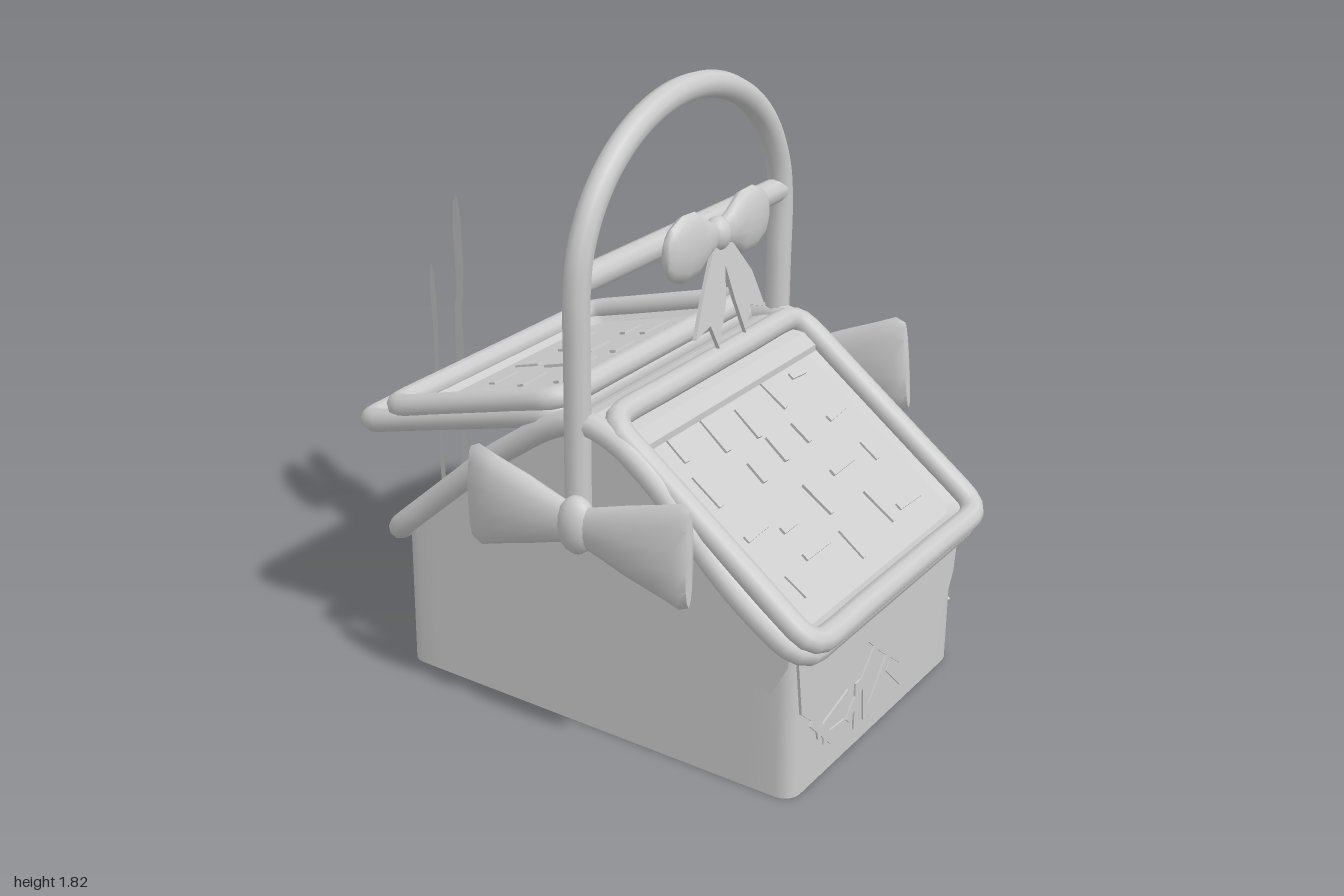
import * as THREE from 'three';
import { toCreasedNormals } from 'three/addons/utils/BufferGeometryUtils.js';

const V = (x, y, z) => new THREE.Vector3(x, y, z);
const MID = 0.225; // x of the handle and the ridge

// Height of the basket's arched opening along x
const RIDGE = [[-0.48, 0.43], [-0.1, 0.77], [0.1, 0.92], [0.23, 0.97], [0.36, 0.94], [0.5, 0.83], [0.7, 0.62], [0.95, 0.45]];
function ridge(x) {
  let i = 0;
  while (i < RIDGE.length - 2 && x > RIDGE[i + 1][0]) i++;
  const [x0, y0] = RIDGE[i], [x1, y1] = RIDGE[i + 1];
  return y0 + (y1 - y0) * (x - x0) / (x1 - x0);
}

// Rounded rectangle in the xz plane, as [x, z] points
function roundRect(hx, hz, r, sub = 10) {
  const pts = [], s = [[1, 1], [1, -1], [-1, -1], [-1, 1]];
  for (let k = 0; k < 4; k++) {
    const arc = (q, a) => [s[q][0] * (hx - r) + r * Math.sin(a), s[q][1] * (hz - r) + r * Math.cos(a)];
    for (let i = 0; i <= 4; i++) pts.push(arc(k, (k + i / 4) * Math.PI / 2));
    const a = pts[pts.length - 1], b = arc((k + 1) % 4, (k + 1) * Math.PI / 2);
    for (let i = 1; i < sub; i++) pts.push([a[0] + (b[0] - a[0]) * i / sub, a[1] + (b[1] - a[1]) * i / sub]);
  }
  return pts;
}

// Skin over closed rings of equal point count
function loft(rings, crease = 0.8) {
  const n = rings[0].length, pos = [], idx = [];
  rings.forEach(r => r.forEach(p => pos.push(p.x, p.y, p.z)));
  for (let i = 0; i < rings.length - 1; i++) for (let j = 0; j < n; j++) {
    const a = i * n + j, b = i * n + (j + 1) % n;
    idx.push(a, b, a + n, b, b + n, a + n);
  }
  const g = new THREE.BufferGeometry();
  g.setAttribute('position', new THREE.Float32BufferAttribute(pos, 3));
  g.setIndex(idx);
  return toCreasedNormals(g, crease);
}

function seeded(s) {
  return () => (s = (s * 16807) % 2147483647) / 2147483647;
}

export function createModel() {
  const basket = new THREE.Group();
  basket.name = 'picnicBasket';
  const grey = new THREE.MeshStandardMaterial({ color: 0xcccccc, side: THREE.DoubleSide });
  grey.name = 'plain grey';

  function add(parent, name, geo, x = 0, y = 0, z = 0) {
    const m = new THREE.Mesh(geo, grey);
    m.name = name;
    m.position.set(x, y, z);
    parent.add(m);
    return m;
  }
  const tube = (pts, r, closed = false, seg = 90) =>
    new THREE.TubeGeometry(new THREE.CatmullRomCurve3(pts, closed, 'centripetal'), seg, r, 10, closed);
  const plate = (pts, d = 0.008) =>
    new THREE.ExtrudeGeometry(new THREE.Shape(pts.map(p => new THREE.Vector2(...p))), { depth: d, bevelEnabled: false });

  // Body with gabled front and back
  const wall = roundRect(0.675, 0.485, 0.05, 16);
  add(basket, 'body', loft([
    wall.map(() => V(MID, 0, 0)),
    wall.map(([x, z]) => V(x + MID, 0, z)),
    wall.map(([x, z]) => V(x + MID, ridge(x + MID), z)),
  ]));
  add(basket, 'rim', tube(roundRect(0.705, 0.512, 0.07, 12).map(([x, z]) => V(x + MID, ridge(x + MID), z)), 0.036, true, 160));

  // Fixed strip over the ridge, under the handle
  const strip = [];
  for (let x = 0.04; x < 0.42; x += 0.04) strip.push([x, ridge(x)]);
  add(basket, 'ridgeStrip', plate([...strip, ...strip.slice().reverse().map(([x, y]) => [x, y - 0.02])], 0.96), 0, 0.01, -0.48);

  // Lids: tube frame, sunken tray and raised slats; a and b are the left and right edge in xy
  function lid(name, a, b, tray, seed) {
    const g = new THREE.Group();
    g.name = name;
    const hx = Math.hypot(b[0] - a[0], b[1] - a[1]) / 2, hz = 0.495;
    g.position.set((a[0] + b[0]) / 2, (a[1] + b[1]) / 2, 0);
    g.rotation.z = Math.atan2(b[1] - a[1], b[0] - a[0]);
    basket.add(g);
    add(g, 'lidFrame', tube(roundRect(hx, hz, 0.06, 4).map(([x, z]) => V(x, 0, z)), 0.036, true, 120));
    if (!tray) return;
    const ring = (inset, y) => roundRect(hx - inset, hz - inset, 0.05, 4).map(([x, z]) => V(x, y, z));
    const outer = ring(0.01, 0);
    add(g, 'lidTray', loft([outer, ring(0.05, -0.035), outer.map(() => V(0, -0.04, 0))].reverse(), 0.5));
    const rnd = seeded(seed);
    for (let i = 0; i < 4; i++) for (let j = 0; j < 5; j++) {
      const len = 0.07 + 0.07 * rnd(), across = rnd() < 0.6;
      const s = add(g, 'slat', new THREE.BoxGeometry(0.022, 0.009, len),
        (i - 1.5) * hx * 0.38 + (rnd() - 0.5) * 0.06, -0.034, (j - 2) * 0.16 + (rnd() - 0.5) * 0.06);
      s.rotation.y = (across ? 0 : Math.PI / 2) + (rnd() - 0.5) * 0.15;
    }
  }
  lid('rightLid', [0.31, 0.99], [0.955, 0.505], true, 77);
  lid('leftLid', [0.14, 1.01], [-0.475, 0.835].slice(), true, 1234);
  lid('leftLidLower', [-0.58, 0.765], [0.14, 0.965], false, 1);
  // The left lid was laid out from the ridge outwards, so turn it face up
  basket.getObjectByName('leftLid').rotation.z += Math.PI;

  // Handle arch and crossbar
  const arch = [V(MID, 0.72, 0.525), V(MID, 0.95, 0.525), V(MID, 1.15, 0.525)];
  for (let i = 0; i <= 12; i++) {
    const a = Math.PI * i / 12;
    arch.push(V(MID, 1.33 + 0.455 * Math.sin(a), 0.525 * Math.cos(a)));
  }
  arch.push(V(MID, 1.15, -0.525), V(MID, 0.95, -0.525), V(MID, 0.72, -0.525));
  add(basket, 'handle', tube(arch, 0.039));
  add(basket, 'crossbar', new THREE.CylinderGeometry(0.038, 0.038, 1.03, 10), MID, 1.37, 0).rotation.x = Math.PI / 2;

  // Bows: profile rows are [distance from knot, half height, half thickness]
  function bow(name, profile, knot, tails) {
    const g = new THREE.Group();
    g.name = name;
    basket.add(g);
    const rings = profile.map(([x, h, d]) => Array.from({ length: 14 }, (_, j) => {
      const a = j / 14 * Math.PI * 2;
      return V(x, h * Math.cos(a), d * Math.sin(a));
    }));
    for (const s of [1, -1]) {
      add(g, 'bowLoop', loft(rings, 1)).rotation.y = s > 0 ? 0 : Math.PI;
      if (!tails) continue;
      const L = tails.length, W = tails.width;
      const t = add(g, 'bowTail', plate([[-0.02, 0], [-W * 0.8, -L * 0.6], [-W, -L], [0, -L * 0.84], [W * 0.9, -L * 1.02], [W, -L * 0.6], [0.02, 0]], 0.012));
      t.rotation.set(tails.tilt, 0, s * tails.spread);
    }
    add(g, 'bowKnot', new THREE.SphereGeometry(1, 14, 10)).scale.set(...knot);
    return g;
  }
  const broad = [[0, 0.05, 0.03], [0.08, 0.075, 0.036], [0.17, 0.105, 0.045], [0.27, 0.135, 0.042], [0.33, 0.155, 0.032], [0.36, 0.14, 0.02], [0.365, 0, 0]];
  const round = [[0, 0.03, 0.02], [0.06, 0.055, 0.028], [0.12, 0.095, 0.036], [0.18, 0.098, 0.036], [0.235, 0.075, 0.026], [0.26, 0.045, 0.014], [0.262, 0, 0]];
  bow('frontBow', broad, [0.06, 0.085, 0.048], null).position.set(0.293, 0.725, 0.625);
  const back = bow('backBow', broad, [0.06, 0.08, 0.05], { length: 0.42, width: 0.06, spread: 0.4, tilt: -0.12 });
  back.position.set(0.26, 0.8, -0.62);
  back.rotation.set(0, Math.PI + 0.1, -0.1);
  const top = bow('crossbarBow', round, [0.045, 0.05, 0.04], { length: 0.31, width: 0.065, spread: 0.42, tilt: -0.16 });
  top.position.set(0.33, 1.385, 0);
  top.rotation.y = Math.PI / 2;

  // Cloth draped over the front, right side and back
  add(basket, 'frontCloth', plate([[0.42, 0.86], [0.45, 0.64], [0.5, 0.6], [0.55, 0.5], [0.58, 0.42], [0.66, 0.35], [0.7, 0.33],
    [0.83, 0.32], [0.88, 0.42], [0.89, 0.48], [0.7, 0.62], [0.5, 0.83]]), 0, 0, 0.483);
  add(basket, 'sideCloth', plate([[-0.48, 0.45], [-0.45, 0.26], [-0.39, 0.21], [-0.25, 0.27], [-0.17, 0.26], [-0.08, 0.31], [0, 0.24],
    [0.13, 0.14], [0.27, 0.1], [0.39, 0.16], [0.46, 0.3], [0.48, 0.45]]), 0.897, 0, 0).rotation.y = Math.PI / 2;
  const cloth = [];
  for (let i = 0; i <= 20; i++) cloth.push([-0.44 + i * 0.0665, ridge(-0.44 + i * 0.0665) - 0.01]);
  for (let i = 20; i >= 0; i--) cloth.push([-0.44 + i * 0.0665, 0.37 - 0.06 * Math.abs(Math.sin(i * Math.PI / 5)) + 0.12 * Math.sin(i * Math.PI / 20)]);
  add(basket, 'backCloth', plate(cloth), 0, 0, -0.491);

  // Woven strips on the back and right walls
  const rnd = seeded(4242);
  for (let i = 0; i < 22; i++) {
    const s = add(basket, 'backStrip', new THREE.BoxGeometry(0.026, 0.12 + 0.12 * rnd(), 0.009),
      -0.34 + (i % 11) * 0.113, (i < 11 ? 0.2 : 0.36) + 0.05 * rnd(), -0.49);
    s.rotation.z = (rnd() < 0.65 ? 0.7 : -0.8) + 0.2 * rnd();
  }
  for (const [z, y, len, turn] of [[0.33, 0.15, 0.17, 0.8], [0.27, 0.17, 0.18, -1.3], [0.26, 0.11, 0.12, 1.5], [0.1, 0.19, 0.24, -0.75],
    [0.13, 0.13, 0.15, 0], [0.08, 0.13, 0.14, 0.1], [0.0, 0.14, 0.2, -0.7], [-0.1, 0.12, 0.14, 0.8]])
    add(basket, 'sideStrip', new THREE.BoxGeometry(0.009, len, 0.03), 0.901, y, z).rotation.x = turn;

  // Two upright flat leaf cut-outs beside the basket; rows are [y, left x, right x]
  const leaves = [
    [0.61, [[1.32, -0.65, -0.59], [1.27, -0.71, -0.54], [1.15, -0.74, -0.51], [1.04, -0.71, -0.54], [0.97, -0.7, -0.59], [0.9, -0.76, -0.57],
      [0.78, -0.775, -0.545], [0.68, -0.75, -0.57], [0.61, -0.71, -0.6], [0.52, -0.72, -0.55], [0.4, -0.72, -0.53], [0.28, -0.72, -0.54], [0.2, -0.71, -0.565]]],
    [0.69, [[0.985, -0.93, -0.88], [0.94, -0.98, -0.83], [0.86, -1.0, -0.8], [0.78, -0.97, -0.8], [0.72, -0.94, -0.82], [0.64, -0.95, -0.77],
      [0.54, -0.945, -0.76], [0.46, -0.92, -0.76], [0.4, -0.88, -0.75], [0.3, -0.885, -0.72], [0.22, -0.86, -0.7], [0.14, -0.81, -0.7], [0.09, -0.78, -0.76]]],
  ];
  for (const [offset, rows] of leaves) {
    const pts = [...rows.map(r => [r[1], r[0]]), ...rows.slice().reverse().map(r => [r[2], r[0]])];
    const g = new THREE.ShapeGeometry(new THREE.Shape(pts.map(p => new THREE.Vector2(...p))));
    const p = g.attributes.position;
    for (let i = 0; i < p.count; i++) p.setZ(i, p.getX(i) + offset);
    g.computeVertexNormals();
    add(basket, 'flatLeaf', g);
  }
  return basket;
}
